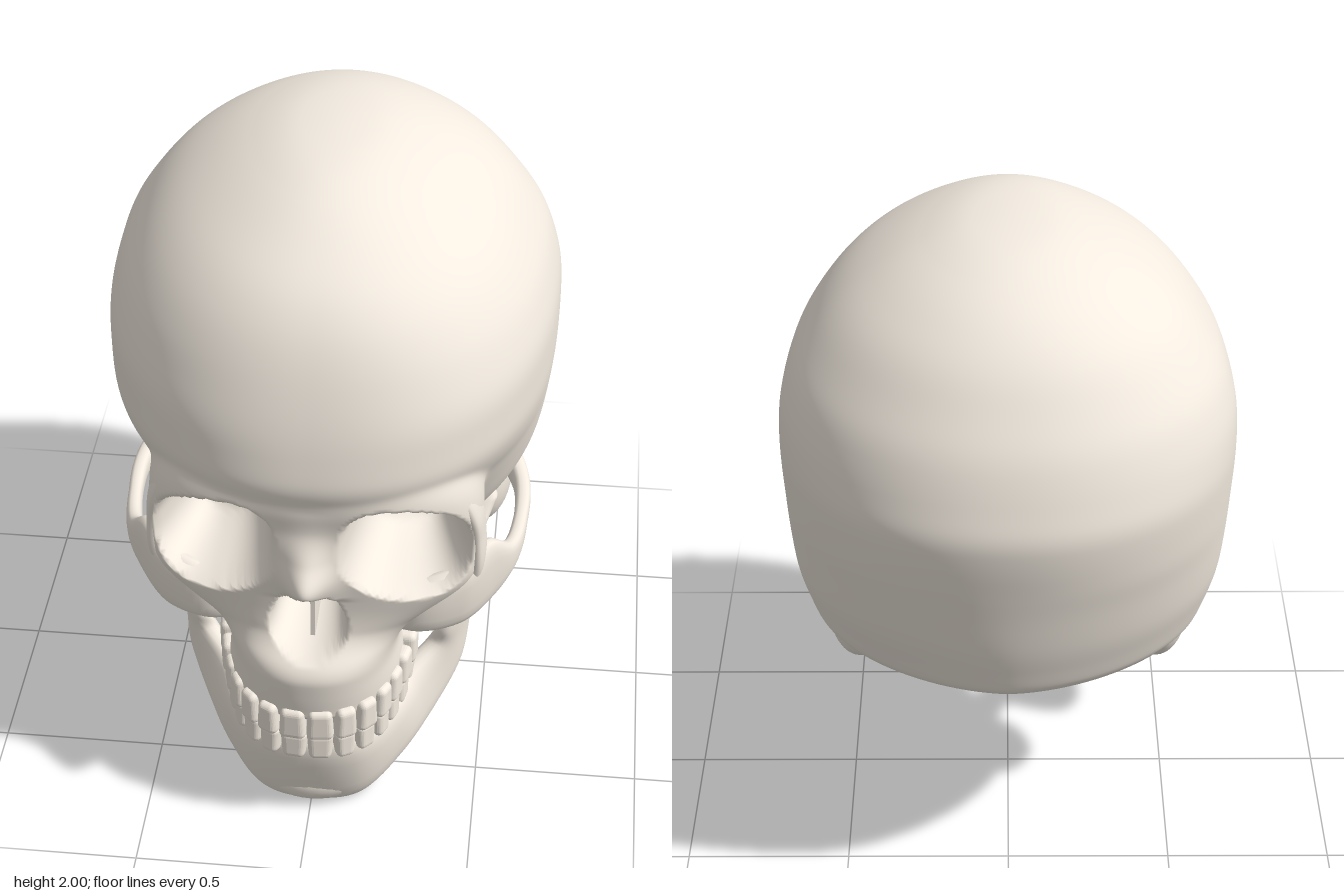
import * as THREE from 'three';
import { RoundedBoxGeometry } from 'three/addons/geometries/RoundedBoxGeometry.js';

const bone = new THREE.MeshStandardMaterial({ color: 0xf3ebe0 });
const V = (x, y, z) => new THREE.Vector3(x, y, z);

function add(group, name, geometry) {
  const mesh = new THREE.Mesh(geometry, bone);
  mesh.name = name;
  group.add(mesh);
  return mesh;
}

// Closed smooth skin over a stack of equal rings; turned outward by its signed volume
function skin(rings) {
  const n = rings[0].length, pts = rings.flat(), index = [];
  for (let i = 0; i < rings.length - 1; i++) for (let j = 0; j < n; j++) {
    const a = i * n + j, b = i * n + (j + 1) % n;
    index.push(a, b, a + n, b, b + n, a + n);
  }
  const cap = (ring, start, flip) => {
    const c = ring.reduce((s, p) => s.add(p), V(0, 0, 0)).divideScalar(n);
    pts.push(c);
    for (let j = 0; j < n; j++) {
      const a = start + j, b = start + (j + 1) % n;
      index.push(pts.length - 1, flip ? b : a, flip ? a : b);
    }
  };
  cap(rings[0], 0, true);
  cap(rings.at(-1), (rings.length - 1) * n, false);
  let volume = 0;
  for (let i = 0; i < index.length; i += 3)
    volume += pts[index[i]].dot(V(0, 0, 0).crossVectors(pts[index[i + 1]], pts[index[i + 2]]));
  if (volume < 0) index.reverse();
  const g = new THREE.BufferGeometry().setFromPoints(pts);
  g.setIndex(index);
  g.computeVertexNormals();
  return g;
}

// Bone lofted between two edge paths; each row is [edge A, edge B, half thickness]
function loft(rows, side = 1, steps = 32, sides = 20) {
  const path = k => new THREE.CatmullRomCurve3(rows.map(r => V(r[k][0] * side, r[k][1], r[k][2])));
  const A = path(0), B = path(1), rings = [];
  const mid = t => A.getPoint(t).add(B.getPoint(t)).multiplyScalar(0.5);
  const soft = v => Math.sign(v) * Math.abs(v) ** 0.75;
  for (let i = 0; i <= steps; i++) {
    const t = i / steps, f = t * (rows.length - 1), k = Math.min(Math.floor(f), rows.length - 2);
    const thick = THREE.MathUtils.lerp(rows[k][2], rows[k + 1][2], f - k);
    const axis = B.getPoint(t).sub(A.getPoint(t)).multiplyScalar(0.5);
    const tangent = mid(Math.min(1, t + 0.02)).sub(mid(Math.max(0, t - 0.02)));
    const normal = tangent.cross(axis).normalize();
    rings.push(Array.from({ length: sides }, (_, j) => {
      const a = j / sides * Math.PI * 2;
      return mid(t).addScaledVector(axis, soft(Math.cos(a))).addScaledVector(normal, thick * soft(Math.sin(a)));
    }));
  }
  return skin(rings);
}

// Braincase levels: y, front z, back z, half width, front and back squareness
const CASE = [
  [0.54, 0.32, 0.28, 0.01, 2, 1.7], [0.57, 0.15, -0.15, 0.2, 2, 1.7], [0.6, 0.2, -0.3, 0.4, 2, 1.7],
  [0.66, 0.3, -0.5, 0.5, 2, 1.7], [0.72, 0.36, -0.61, 0.55, 2, 1.7], [0.78, 0.42, -0.725, 0.58, 2, 1.7],
  [0.85, 0.5, -0.75, 0.61, 2, 1.75], [0.95, 0.58, -0.78, 0.64, 2, 1.85], [1.1, 0.7, -0.81, 0.66, 2.05, 2],
  [1.2, 0.775, -0.83, 0.668, 2.2, 2.1], [1.28, 0.803, -0.845, 0.674, 2.3, 2.1], [1.36, 0.793, -0.853, 0.676, 2.35, 2.1],
  [1.44, 0.778, -0.835, 0.674, 2.4, 2.1], [1.58, 0.735, -0.79, 0.64, 2.35, 2.1], [1.7, 0.68, -0.72, 0.57, 2.3, 2.1],
  [1.8, 0.6, -0.65, 0.485, 2.2, 2.1], [1.9, 0.44, -0.53, 0.35, 2.1, 2], [1.97, 0.27, -0.36, 0.2, 2, 2],
  [1.994, 0.1, -0.22, 0.1, 2, 2], [2, -0.04, -0.12, 0.02, 2, 2]];
// Face levels, same columns
const FACE = [
  [0.44, 0.805, 0.36, 0.265, 2.1, 2], [0.5, 0.815, 0.34, 0.265, 2.1, 2], [0.55, 0.82, 0.15, 0.255, 2.2, 1.5],
  [0.61, 0.825, 0, 0.26, 2.2, 1.3], [0.65, 0.79, 0, 0.28, 2.2, 1.3], [0.69, 0.745, 0.02, 0.32, 2.2, 1.3],
  [0.78, 0.735, 0.05, 0.44, 2.2, 1.4], [0.85, 0.74, 0.1, 0.49, 2.3, 1.8], [1, 0.76, 0.1, 0.493, 2.5, 2],
  [1.12, 0.77, 0.1, 0.488, 2.5, 2], [1.2, 0.785, 0.1, 0.47, 2.4, 2], [1.28, 0.77, 0.1, 0.42, 2.2, 2],
  [1.36, 0.68, 0.2, 0.3, 2, 2], [1.42, 0.58, 0.3, 0.2, 2, 2]];
const CENTRE = [[0.44, 0.5], [0.5, 0.4], [0.55, 0.3], [0.6, 0.12], [0.75, 0.05], [0.9, 0], [1.6, 0], [2, -0.085]];
const NOSE = [[0.86, 0.05], [0.95, 0.11], [1.03, 0.055], [1.12, 0.01], [1.2, 0]];

// Smooth lookup in a level table, without overshoot
function row(table, y) {
  if (y <= table[0][0]) return table[0];
  const i = table.findIndex(r => r[0] >= y);
  if (i < 0) return table.at(-1);
  const a = table[i - 1], b = table[i], h = b[0] - a[0], t = (y - a[0]) / h;
  const secant = (j, k) => (table[j + 1][k] - table[j][k]) / (table[j + 1][0] - table[j][0]);
  const slope = (j, k) => {
    const p = secant(Math.max(0, j - 1), k), q = secant(Math.min(table.length - 2, j), k);
    return p * q <= 0 ? 0 : 2 * p * q / (p + q);
  };
  const s = t * t * (3 - 2 * t);
  return a.map((v, k) => v + (b[k] - v) * s
    + h * t * (1 - t) * ((1 - t) * slope(i - 1, k) - t * slope(i, k)));
}

// Lookup averaged over a small window, so that levels blend softly
function level(table, y) {
  const h = Math.min(0.025, (2 - y) * 0.5);
  const all = [-1, 0, 1].map(k => row(table, y + k * h));
  return all[0].map((_, k) => all.reduce((s, r) => s + r[k], 0) / 3);
}

function oval(x, z, [, zf, zb, w, n, nBack], zc) {
  const front = z > zc, p = front ? n : nBack;
  const a = Math.max(0.005, front ? zf - zc : zc - zb);
  return (Math.abs(x) / w) ** p + (Math.abs(z - zc) / a) ** p - 1;
}

// Nasal bones, nasal opening and eye sockets pressed into the front
function carve(p) {
  const { x, y, z } = p, ss = THREE.MathUtils.smoothstep;
  if (z < 0.5) return p;
  if (y > 0.86) p.z += row(NOSE, y)[1] * Math.exp(-((x / 0.07) ** 2));
  const hw = 0.145 * (1 - 0.6 * THREE.MathUtils.clamp((y - 0.68) / 0.26, 0, 1));
  const hole = (x / hw) ** 2 + ((y - 0.793) / 0.15) ** 2;
  p.z -= 0.27 * (1 - ss(hole, 0.45, 1));
  const u = Math.abs(x) - 0.28, v = y - 1.02 + u * 0.18;
  const d = Math.abs(u / 0.187) ** 2.5 + Math.abs(v / 0.175) ** 2.5;
  const k = d < 1 ? 0.6 * ss(1 - d, 0, 0.55) + 0.4 * (1 - d) : 0;
  p.z -= 0.38 * k;
  p.x -= Math.sign(x) * 0.25 * k * (Math.abs(x) - 0.2);
  return p;
}

function craniumGeometry() {
  const rings = [], N = 230, M = 180;
  for (let i = 0; i <= M; i++) {
    const v = i / M, y = 0.44 + 1.558 * (0.6 * v + 0.4 * Math.sin(v * Math.PI / 2));
    const cs = level(CASE, y), fc = level(FACE, y), cz = level(CENTRE, y)[1];
    const zc = cs[2] + 0.42 * (cs[1] - cs[2]);
    const field = (x, z) => {
      const a = oval(x, z, cs, zc);
      const b = y < 1.42 ? oval(x, z, fc, 0.5) : 1e3;
      return Math.min(a, b) - Math.log(1 + Math.exp(-32 * Math.abs(a - b))) / 32;
    };
    rings.push(Array.from({ length: N }, (_, j) => {
      const u = (j / N) * Math.PI * 2 - Math.PI, th = u - 0.5 * Math.sin(u);
      const dx = Math.sin(th), dz = Math.cos(th);
      let lo = 0, hi = 1.2;
      for (let k = 0; k < 24; k++) {
        const r = (lo + hi) / 2;
        if (field(dx * r, cz + dz * r) < 0) lo = r; else hi = r;
      }
      return carve(V(dx * lo, y, cz + dz * lo));
    }));
  }
  // Hollow palate inside the upper jaw
  const palate = [[0.5, 0.12], [0.68, 0.09], [0.78, 0.01]].map(([s, up]) =>
    rings[0].map(p => V(p.x * s, p.y + up, 0.53 + (p.z - 0.53) * s)));
  return skin([...palate, ...rings]);
}

// One row of teeth along the dental arch
function addTeeth(group, name, y, height, scale, dir) {
  const arch = new THREE.CatmullRomCurve3([[0, 0.803], [0.1, 0.785], [0.18, 0.72], [0.225, 0.62], [0.25, 0.52], [0.262, 0.42]]
    .map(([x, z]) => V(x * scale, 0, 0.42 + (z - 0.42) * scale)));
  const widths = [0.08, 0.066, 0.068, 0.068, 0.07, 0.08, 0.075], sum = widths.reduce((a, b) => a + b);
  const teeth = new THREE.Group();
  teeth.name = name;
  group.add(teeth);
  let s = 0;
  widths.forEach((w, i) => {
    const t = (s + w / 2) / sum;
    s += w;
    const p = arch.getPointAt(t), d = arch.getTangentAt(t), depth = 0.05 + 0.007 * i;
    const g = new RoundedBoxGeometry(w * scale * 1.06, height, depth, 3, 0.02);
    const pos = g.attributes.position;
    for (let k = 0; k < pos.count; k++) {
      const root = 0.5 + dir * pos.getY(k) / height;
      pos.setX(k, pos.getX(k) * (1 - 0.16 * root));
    }
    g.computeVertexNormals();
    for (const side of [1, -1]) {
      const tooth = add(teeth, 'tooth', g);
      tooth.position.set(p.x * side, y + 0.05 * t * t, p.z);
      tooth.rotation.y = side * Math.atan2(-d.z, d.x);
    }
  });
}

export function createModel() {
  const skull = new THREE.Group();
  skull.name = 'skull';
  add(skull, 'cranium', craniumGeometry());
  add(skull, 'nasalSeptum', new THREE.BoxGeometry(0.014, 0.22, 0.22)).position.set(0.008, 0.78, 0.58);

  // Lower jaw, one loft from the right upright branch round the chin to the left one
  const half = [
    [[0.13, 0.01, 0.64], [0.13, 0.33, 0.73], 0.05], [[0.24, 0.075, 0.54], [0.22, 0.33, 0.59], 0.05],
    [[0.33, 0.14, 0.4], [0.27, 0.36, 0.46], 0.05], [[0.41, 0.24, 0.25], [0.345, 0.41, 0.39], 0.042],
    [[0.43, 0.33, 0.165], [0.375, 0.47, 0.4], 0.036], [[0.44, 0.46, 0.14], [0.4, 0.54, 0.39], 0.03],
    [[0.455, 0.58, 0.125], [0.43, 0.61, 0.385], 0.025], [[0.46, 0.67, 0.11], [0.445, 0.68, 0.37], 0.018]];
  const flip = ([a, b, t]) => [[-a[0], a[1], a[2]], [-b[0], b[1], b[2]], t];
  add(skull, 'lowerJaw', loft([...half.map(flip).reverse(), [[0, 0, 0.665], [0, 0.33, 0.765], 0.045], ...half], 1, 128, 24));
  const chin = add(skull, 'chin', new THREE.SphereGeometry(1, 24, 16));
  chin.scale.set(0.14, 0.08, 0.065);
  chin.position.set(0, 0.085, 0.675);

  for (const side of [1, -1]) {
    // Cheekbone growing out of the upper jaw and running back into its arch
    add(skull, 'cheekbone', loft([
      [[0.2, 0.64, 0.57], [0.22, 0.82, 0.57], 0.03], [[0.31, 0.65, 0.605], [0.33, 0.85, 0.61], 0.04],
      [[0.425, 0.65, 0.555], [0.44, 0.88, 0.57], 0.042], [[0.51, 0.675, 0.47], [0.505, 0.92, 0.5], 0.032],
      [[0.57, 0.72, 0.37], [0.57, 0.83, 0.38], 0.026], [[0.596, 0.755, 0.22], [0.596, 0.82, 0.22], 0.022],
      [[0.594, 0.775, 0.1], [0.594, 0.85, 0.09], 0.025], [[0.56, 0.785, 0], [0.56, 0.875, -0.02], 0.03],
      [[0.5, 0.8, -0.08], [0.5, 0.9, -0.12], 0.03]], side, 64));
    // Outer rim of the eye socket
    add(skull, 'socketRim', loft([
      [[0.47, 0.78, 0.48], [0.45, 0.78, 0.56], 0.025], [[0.487, 0.87, 0.48], [0.474, 0.87, 0.585], 0.022],
      [[0.484, 0.98, 0.48], [0.474, 0.98, 0.6], 0.02], [[0.47, 1.08, 0.5], [0.46, 1.08, 0.625], 0.022],
      [[0.435, 1.18, 0.53], [0.415, 1.17, 0.64], 0.025], [[0.37, 1.23, 0.54], [0.35, 1.22, 0.63], 0.025]], side));
    // Two prongs on top of the jaw branch
    add(skull, 'frontProng', loft([
      [[0.45, 0.6, 0.22], [0.435, 0.6, 0.38], 0.02], [[0.46, 0.7, 0.28], [0.45, 0.7, 0.37], 0.018],
      [[0.47, 0.8, 0.31], [0.465, 0.8, 0.345], 0.01]], side));
    add(skull, 'rearProng', loft([
      [[0.455, 0.58, 0.125], [0.445, 0.6, 0.27], 0.02], [[0.465, 0.7, 0.085], [0.465, 0.7, 0.17], 0.025],
      [[0.47, 0.77, 0.05], [0.47, 0.77, 0.12], 0.05], [[0.47, 0.8, 0.06], [0.47, 0.8, 0.1], 0.03]], side));
    // Bump and spike below the ear
    const bump = add(skull, 'earBump', new THREE.SphereGeometry(1, 28, 20));
    bump.scale.set(0.1, 0.19, 0.16);
    bump.position.set(side * 0.46, 0.725, -0.14);
    bump.rotation.x = -0.3;
    const spike = add(skull, 'earSpike', new THREE.ConeGeometry(0.028, 0.24, 10));
    spike.position.set(side * 0.35, 0.63, 0.04);
    spike.rotation.x = Math.PI - 0.1;
  }

  addTeeth(skull, 'upperTeeth', 0.42, 0.11, 1, 1);
  addTeeth(skull, 'lowerTeeth', 0.325, 0.1, 0.96, -1);
  return skull;
}
